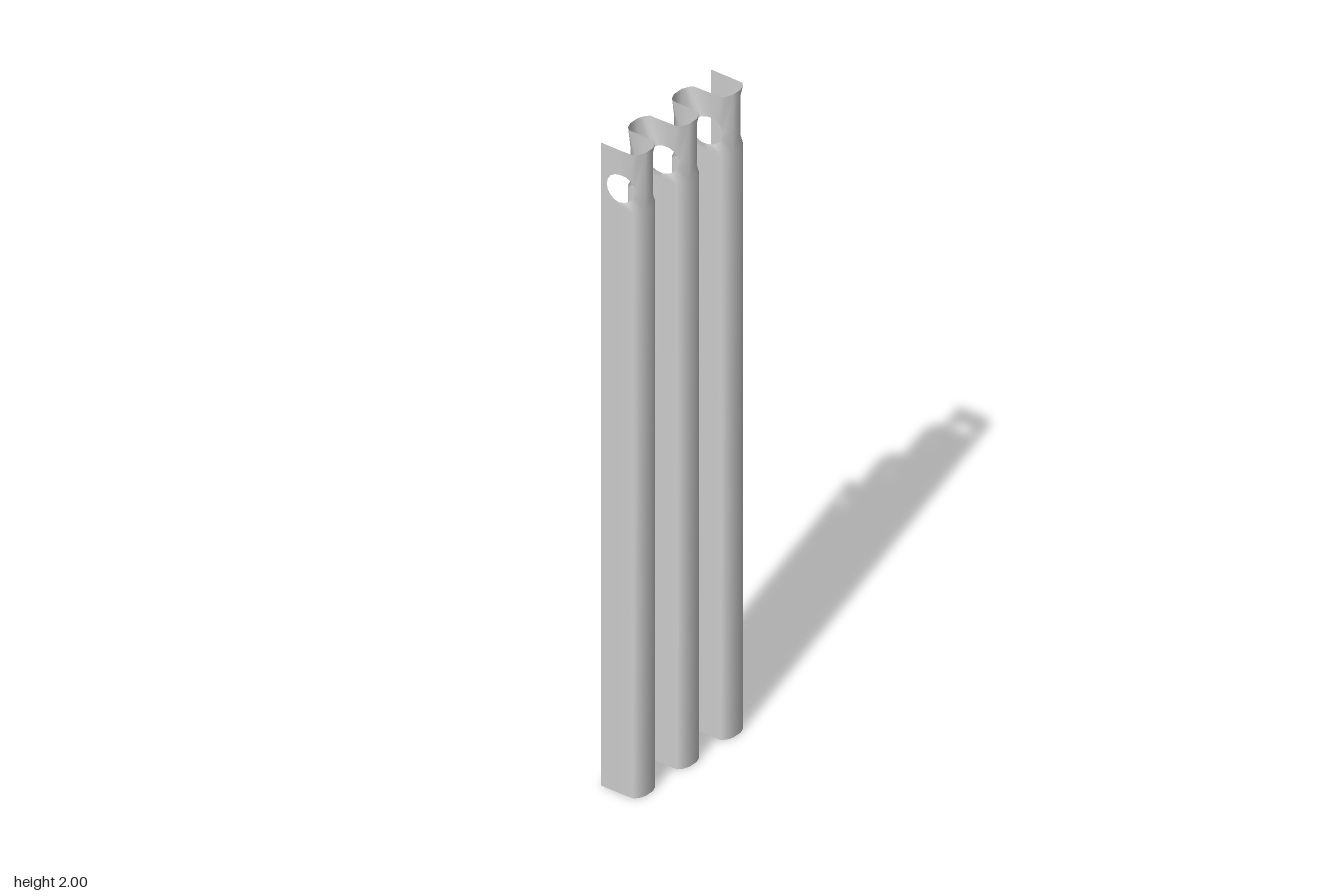
import * as THREE from 'three';
import { mergeVertices } from 'three/addons/utils/BufferGeometryUtils.js';

const HALF = 0.0625;      // half the width of a pleat
const PITCH = 0.094;      // distance between pleats
const PLEATS = 6;
const HOLE_Y = 1.88, HOLE_R = 0.043;
const BAND_Y = 1.82, TOP_Y = 2;

// Half section of one pleat: [distance from the middle, set-back]
const SECTION = [[0, 0], [0.045, 0.001], [0.055, 0.012], [HALF, 0.031]];

export function createModel() {
  const points = [], index = [];
  const add = (p) => points.push(...p) / 3 - 1;
  const quad = (a, b, c, d) => {
    const [i, j, k, l] = [a, b, c, d].map(add);
    index.push(i, j, k, i, k, l);
  };

  // Place a point of pleat n; the cloth runs alternately right and left
  const place = (n, u, y, back) => {
    const flatEnd = (n === 0 && u < 0) || (n === PLEATS - 1 && u > 0);
    const z = (PLEATS - 1) / 2 * PITCH - n * PITCH - (flatEnd ? 0 : Math.sign(u) * back);
    return [n % 2 ? -u : u, y, z];
  };

  const full = [
    ...SECTION.slice(1).reverse().map(([u, b]) => [-u, b]),
    ...SECTION,
  ];

  // Outline of the band around an eyelet, counter-clockwise from the right
  const outline = [[HALF, HOLE_Y, 0.031]];
  [...full].reverse().forEach(([u, b]) => outline.push([u, TOP_Y, b]));
  outline.push([-HALF, HOLE_Y, 0.031]);
  full.forEach(([u, b]) => outline.push([u, BAND_Y, b]));
  const count = outline.length;

  for (let n = 0; n < PLEATS; n++) {
    // Long lower cloth
    for (let i = 0; i < full.length - 1; i++) {
      const [u, b] = full[i], [v, c] = full[i + 1];
      quad(place(n, u, 0, b), place(n, v, 0, c), place(n, v, BAND_Y, c), place(n, u, BAND_Y, b));
    }

    // Top band with its round eyelet
    const rim = (i) => {
      const a = i / count * Math.PI * 2;
      const u = HOLE_R * Math.cos(a);
      return place(n, Math.abs(u) < 1e-6 ? 0 : u, HOLE_Y + HOLE_R * Math.sin(a), Math.abs(u) * 0.27);
    };
    for (let i = 0; i < count; i++) {
      const j = (i + 1) % count;
      quad(rim(i), place(n, ...outline[i]), place(n, ...outline[j]), rim(j));
    }

    // Fold joining this pleat to the next
    if (n < PLEATS - 1) {
      const rows = [0, BAND_Y, HOLE_Y, TOP_Y];
      for (let r = 0; r < 3; r++) {
        const from = (y) => place(n, HALF, y, 0.031);
        const to = (y) => place(n + 1, -HALF, y, 0.031);
        quad(from(rows[r]), to(rows[r]), to(rows[r + 1]), from(rows[r + 1]));
      }
    }
  }

  let geometry = new THREE.BufferGeometry();
  geometry.setAttribute('position', new THREE.Float32BufferAttribute(points, 3));
  geometry.setIndex(index);
  geometry = mergeVertices(geometry, 1e-5);
  geometry.computeVertexNormals();

  const curtain = new THREE.Mesh(geometry, new THREE.MeshStandardMaterial({
    color: 0xcccccc, side: THREE.DoubleSide,
  }));
  curtain.name = 'pleatedCurtain';

  const group = new THREE.Group();
  group.name = 'curtain';
  group.add(curtain);
  return group;
}
